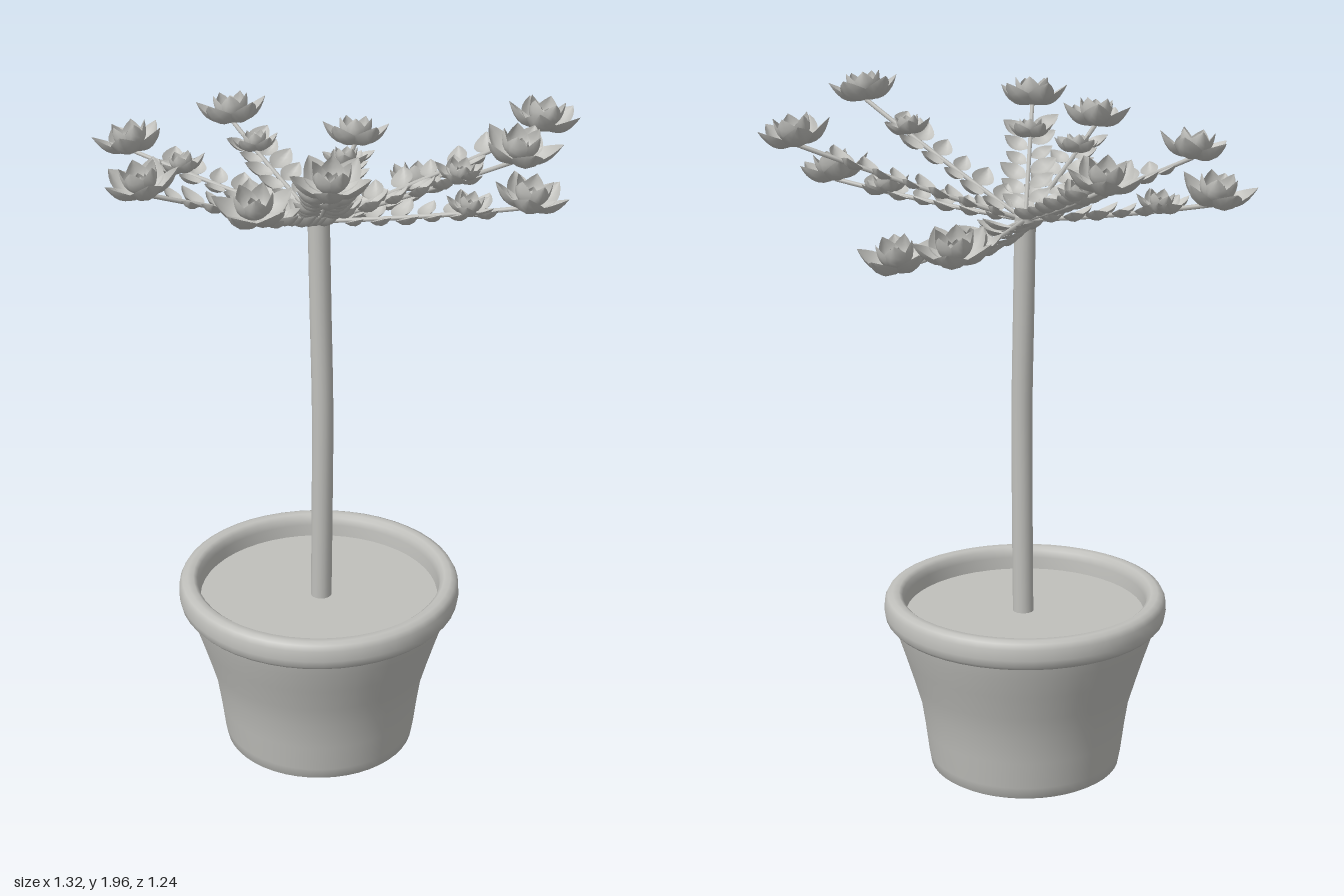
import * as THREE from 'three';
import { mergeGeometries } from 'three/addons/utils/BufferGeometryUtils.js';

const CX = -0.01, CZ = 0.035;
const UP = new THREE.Vector3(0, 1, 0);
const v2 = (p) => new THREE.Vector2(p[0], p[1]);

// Cupped, pointed leaf lying along +z with its hollow side up; unit length
function leafShape() {
  const g = new THREE.PlaneGeometry(2, 1, 4, 7);
  const p = g.attributes.position;
  for (let i = 0; i < p.count; i++) {
    const u = p.getX(i), v = 0.5 - p.getY(i);
    const half = 0.36 * Math.pow(Math.max(0, Math.sin(Math.PI * Math.pow(v, 0.85))), 0.85) + 0.015 * (1 - v);
    const cup = 0.2 * (u * u - 1) * Math.sin(Math.PI * v);
    p.setXYZ(i, u * half, cup + 0.1 * v * v, v);
  }
  g.computeVertexNormals();
  return g;
}

// Place a leaf at a point, pointing along dir, hollow side towards face
function placeLeaf(leaf, at, dir, face, length) {
  const z = dir.clone().normalize();
  const x = new THREE.Vector3().crossVectors(face, z).normalize();
  const y = new THREE.Vector3().crossVectors(z, x);
  const m = new THREE.Matrix4().makeBasis(x, y, z);
  m.scale(new THREE.Vector3(length, length, length)).setPosition(at);
  return leaf.clone().applyMatrix4(m);
}

// Cup of petals: rings of [count, length, elevation in degrees]
function rosette(leaf, at, axis, size, turn) {
  const rings = [[5, 0.118, 24], [5, 0.092, 52], [4, 0.055, 68]];
  const a = new THREE.Vector3().crossVectors(axis, new THREE.Vector3(0.3, 0, 1)).normalize();
  const b = new THREE.Vector3().crossVectors(axis, a);
  const parts = [];
  rings.forEach(([n, length, elevation], r) => {
    const e = THREE.MathUtils.degToRad(elevation);
    for (let i = 0; i < n; i++) {
      const t = turn + ((i + r * 0.5) / n) * Math.PI * 2;
      const out = a.clone().multiplyScalar(Math.cos(t)).addScaledVector(b, Math.sin(t));
      const dir = out.clone().multiplyScalar(Math.cos(e)).addScaledVector(axis, Math.sin(e));
      const face = axis.clone().multiplyScalar(Math.cos(e)).addScaledVector(out, -Math.sin(e));
      parts.push(placeLeaf(leaf, at, dir, face, length * size));
    }
  });
  return parts;
}

export function createModel() {
  const model = new THREE.Group();
  const grey = new THREE.MeshStandardMaterial({ color: 0xc0c0bc });
  grey.name = 'plain grey';
  grey.side = THREE.DoubleSide;

  const add = (name, geometry, parent = model) => {
    const mesh = new THREE.Mesh(geometry, grey);
    mesh.name = name;
    parent.add(mesh);
    return mesh;
  };
  const turned = (name, points) => {
    add(name, new THREE.LatheGeometry(points.map(v2), 48)).position.set(CX, 0, CZ);
  };

  // Pot: flared wall, rounded rim, base and soil
  turned('potWall', [[0.262, 0], [0.274, 0.008], [0.28, 0.04], [0.29, 0.12], [0.302, 0.2],
    [0.322, 0.27], [0.345, 0.345], [0.366, 0.41], [0.376, 0.455]]);
  turned('potRim', [[0.37, 0.447], [0.39, 0.449], [0.4, 0.46], [0.404, 0.48], [0.402, 0.51],
    [0.394, 0.525], [0.38, 0.531], [0.362, 0.53], [0.351, 0.521], [0.346, 0.5], [0.342, 0.44]]);
  const base = add('potBase', new THREE.CircleGeometry(0.264, 48));
  base.rotation.x = Math.PI / 2;
  base.position.set(CX, 0.001, CZ);
  const soil = add('soil', new THREE.CircleGeometry(0.343, 48));
  soil.rotation.x = -Math.PI / 2;
  soil.position.set(CX, 0.465, CZ);

  // Trunk: slightly bowed stem
  const trunkPath = new THREE.CatmullRomCurve3([
    [0, 0.46], [0.005, 0.75], [0.008, 1.05], [0, 1.35], [-0.007, 1.615],
  ].map(([x, y]) => new THREE.Vector3(x, y, CZ)));
  add('trunk', new THREE.TubeGeometry(trunkPath, 24, 0.03, 16));
  const cap = add('trunkTop', new THREE.SphereGeometry(0.03, 16, 8));
  cap.scale.y = 0.4;
  cap.position.set(-0.007, 1.613, CZ);

  // Branch ends: x, y, z of the flower, and whether a small side bloom grows
  const branches = [
    [0.27, 1.87, -0.51, 0], [-0.14, 1.60, -0.44, 0], [-0.42, 1.67, -0.44, 1],
    [0.43, 1.735, -0.31, 1], [0.555, 1.93, -0.14, 1], [-0.46, 1.81, -0.025, 1],
    [-0.55, 1.76, 0.255, 1], [-0.135, 1.80, 0.505, 0], [0.285, 1.84, 0.47, 1],
    [0.39, 1.90, 0.32, 1],
  ];
  const leaf = leafShape();
  const start = new THREE.Vector3(-0.007, 1.605, CZ);

  branches.forEach(([x, y, z, bloom], k) => {
    const group = new THREE.Group();
    group.name = 'branch' + (k + 1);
    model.add(group);

    const end = new THREE.Vector3(x, y - 0.05, z);
    const mid = start.clone().lerp(end, 0.5);
    mid.y -= 0.012;
    const path = new THREE.QuadraticBezierCurve3(start, mid, end);
    add('twig', new THREE.TubeGeometry(path, 10, 0.0065, 6), group);

    const along = end.clone().sub(start).normalize();
    const side = new THREE.Vector3().crossVectors(along, UP).normalize();
    const normal = new THREE.Vector3().crossVectors(side, along);

    // Paired leaves along the twig
    const leaves = [];
    for (let i = 0; i < 6; i++) {
      const t = 0.14 + i * 0.125;
      for (const s of [-1, 1]) {
        const at = path.getPoint(t + s * 0.025);
        const dir = side.clone().multiplyScalar(s).addScaledVector(along, 0.45).addScaledVector(UP, 0.22);
        at.addScaledVector(side, s * 0.006);
        leaves.push(placeLeaf(leaf, at, dir, normal, 0.07 + 0.008 * ((i + k) % 3)));
      }
    }
    add('leaves', mergeGeometries(leaves), group);

    // Flower at the tip, leaning a little outwards
    const axis = UP.clone().addScaledVector(along, 0.2).normalize();
    add('flower', mergeGeometries(rosette(leaf, end, axis, 1, k * 1.7)), group);
    if (bloom) {
      const at = path.getPoint(0.72);
      add('sideBloom', mergeGeometries(rosette(leaf, at, axis, 0.66, k * 1.1 + 0.5)), group);
    }
  });

  return model;
}
